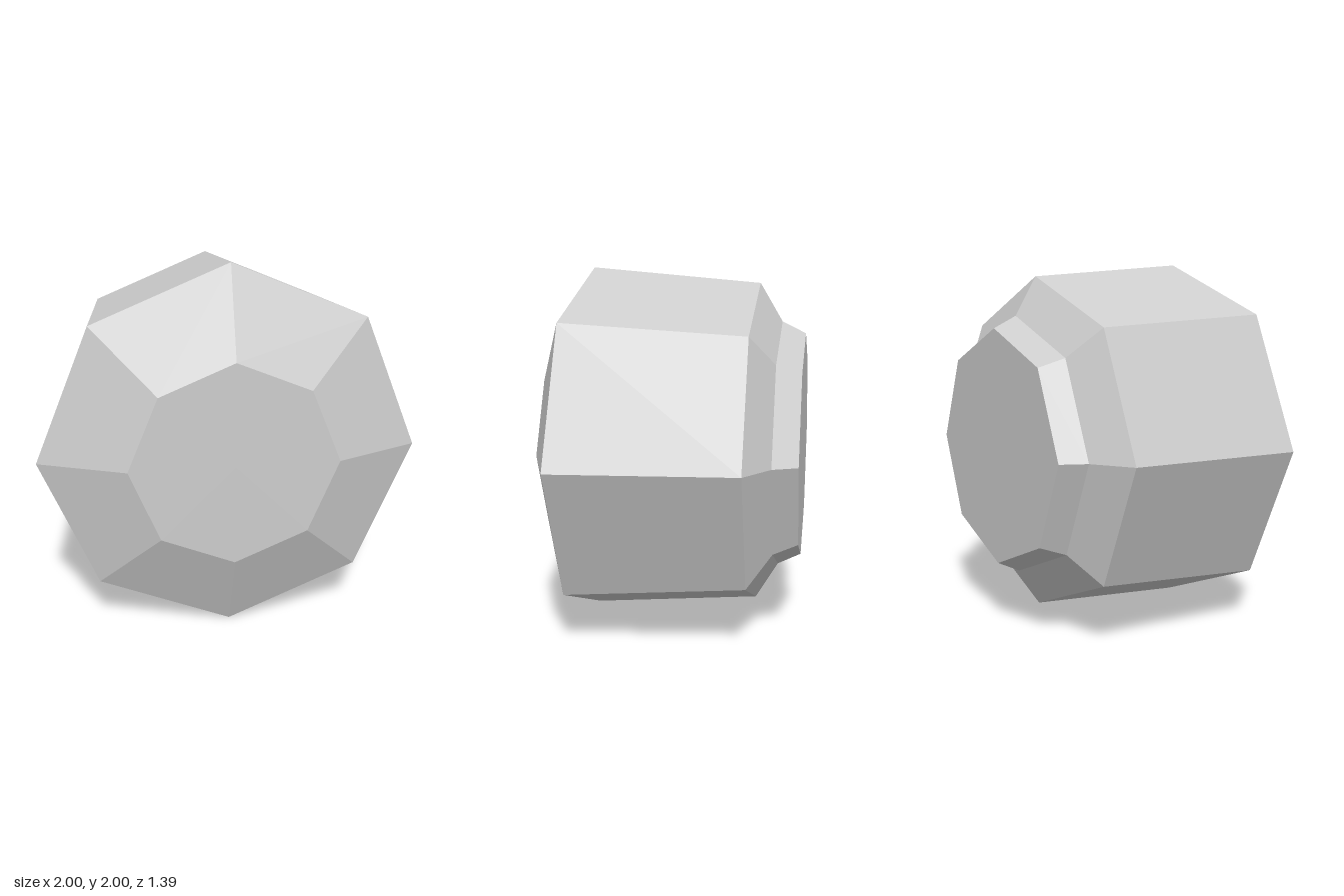
import * as THREE from 'three';

const SIDES = 8;

// Eight-sided cross-sections along z, rear to front: [z, radius]
const RINGS = [
  [-0.695, 0.635],
  [-0.565, 0.7],
  [-0.44, 0.91],
  [0.51, 1],
  [0.695, 0.545],
];
const BAND_NAMES = ['rearNeck', 'rearShoulder', 'body', 'frontBevel'];

export function createModel() {
  const group = new THREE.Group();
  group.name = 'facetedKnob';
  const grey = new THREE.MeshStandardMaterial({ color: 0xcccccc, flatShading: true });
  grey.name = 'lightGrey';

  const add = (name, geometry, z) => {
    const mesh = new THREE.Mesh(geometry, grey);
    mesh.name = name;
    mesh.position.set(0, 1, z);
    group.add(mesh);
  };

  // Tapered bands between neighbouring rings
  BAND_NAMES.forEach((name, i) => {
    const [z0, r0] = RINGS[i];
    const [z1, r1] = RINGS[i + 1];
    const band = new THREE.CylinderGeometry(r1, r0, z1 - z0, SIDES, 1, true);
    add(name, band.rotateX(Math.PI / 2), (z0 + z1) / 2);
  });

  // Flat end faces
  const [rear, front] = [RINGS[0], RINGS[RINGS.length - 1]];
  add('frontFace', new THREE.CircleGeometry(front[1], SIDES), front[0]);
  add('rearFace', new THREE.CircleGeometry(rear[1], SIDES).rotateY(Math.PI), rear[0]);

  return group;
}
